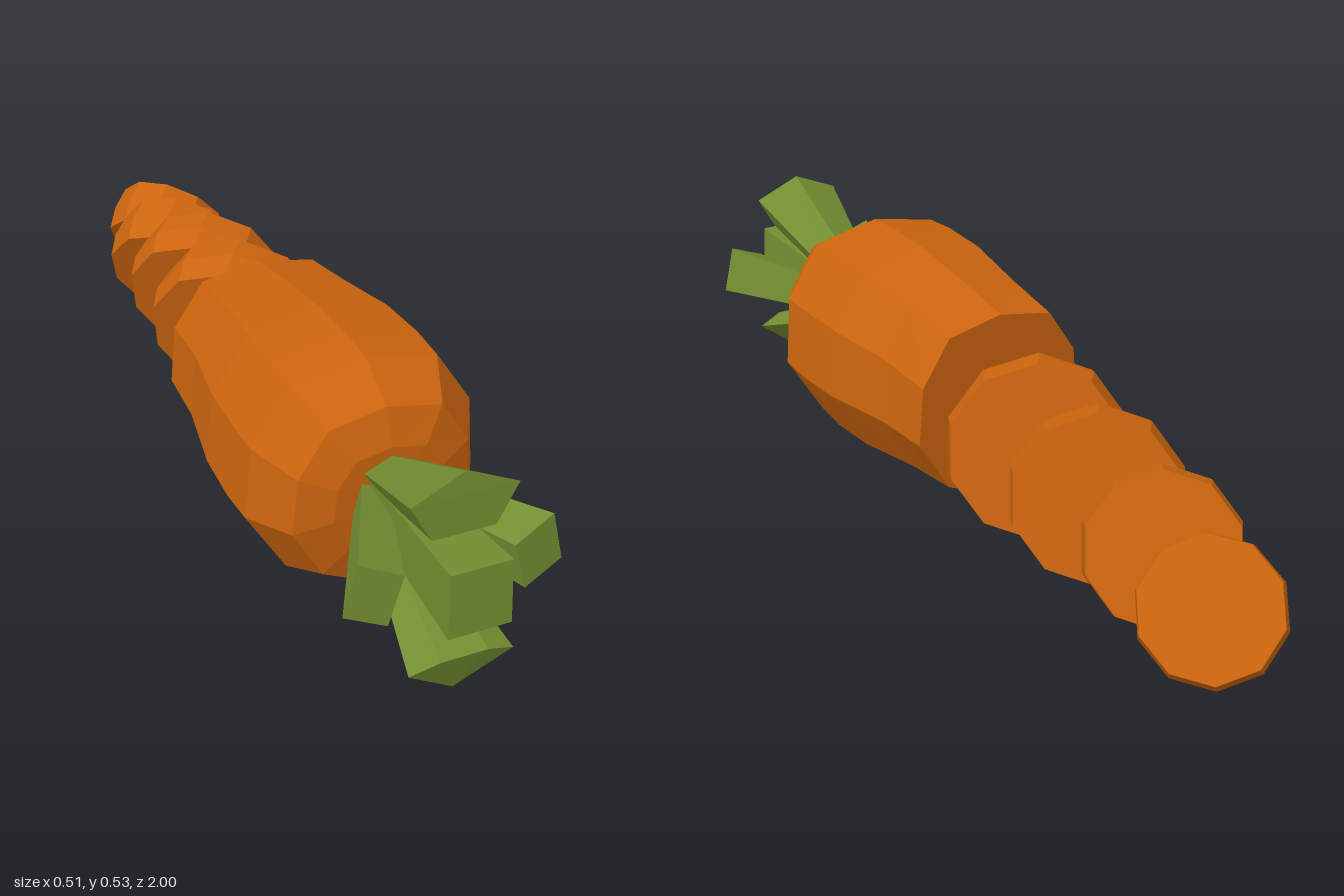
import * as THREE from 'three';
import { ConvexGeometry } from 'three/addons/geometries/ConvexGeometry.js';

const orange = new THREE.MeshStandardMaterial({ color: 0xcb640e });
orange.name = 'carrot orange';
const green = new THREE.MeshStandardMaterial({ color: 0x738e31 });
green.name = 'leaf green';

function addMesh(group, name, geometry, material) {
  const mesh = new THREE.Mesh(geometry, material);
  mesh.name = name;
  group.add(mesh);
  return mesh;
}

// Split every face so that it gets its own flat normal
function faceted(geometry) {
  const flat = geometry.index ? geometry.toNonIndexed() : geometry;
  flat.computeVertexNormals();
  return flat;
}

// Body: one uneven cross-section, scaled along z
function bodyGeometry() {
  const right = [[0.075, -0.257], [0.167, -0.213], [0.257, -0.06], [0.243, 0.107], [0.16, 0.235]];
  const section = [[0, -0.265], ...right, [0, 0.267],
    ...right.slice().reverse().map(([x, y]) => [-x, y])];
  // z, x scale, y scale, centre height
  const rings = [
    [-0.05, 0.83, 0.81, 0.255], [0.1, 0.86, 0.89, 0.262], [0.28, 0.98, 0.98, 0.266],
    [0.41, 1, 1, 0.268], [0.5, 0.99, 0.97, 0.272], [0.6, 0.76, 0.77, 0.27], [0.63, 0.47, 0.45, 0.28],
  ];
  const n = section.length, last = rings.length - 1;
  const positions = [];
  const point = (i, j) => {
    const [z, sx, sy, cy] = rings[i];
    const [x, y] = section[j % n];
    return [x * sx, cy + y * sy, z];
  };
  const tri = (...corners) => corners.forEach((c) => positions.push(...c));
  for (let j = 0; j < n; j++) {
    for (let i = 0; i < last; i++) {
      tri(point(i, j), point(i, j + 1), point(i + 1, j + 1));
      tri(point(i, j), point(i + 1, j + 1), point(i + 1, j));
    }
    tri([0, rings[0][3], rings[0][0]], point(0, j + 1), point(0, j));
    tri([0, rings[last][3], rings[last][0] + 0.005], point(last, j), point(last, j + 1));
  }
  const geometry = new THREE.BufferGeometry();
  geometry.setAttribute('position', new THREE.Float32BufferAttribute(positions, 3));
  return faceted(geometry);
}

// Slice: a thick disc with slightly bulging rim
function sliceGeometry(r, h) {
  const profile = [[0, -h], [r * 0.95, -h], [r, 0], [r * 0.95, h], [0, h]]
    .map(([x, y]) => new THREE.Vector2(x, y));
  return faceted(new THREE.LatheGeometry(profile, 10));
}

// Leaf: a tip outline drawn down to a smaller base outline
function leafGeometry(tip, base, shrink) {
  const points = tip.map((p) => new THREE.Vector3(...p));
  const centre = points.reduce((sum, p) => sum.add(p), new THREE.Vector3()).divideScalar(points.length);
  const foot = new THREE.Vector3(...base);
  const lower = points.map((p) => {
    const q = p.clone().sub(centre).multiplyScalar(shrink).add(foot);
    q.z = foot.z;
    return q;
  });
  return new ConvexGeometry([...points, ...lower]);
}

export function createModel() {
  const model = new THREE.Group();
  model.name = 'slicedCarrot';

  addMesh(model, 'body', bodyGeometry(), orange);

  // Cut slices, leaning more towards the tip: centre, radius, half thickness, lean, heading
  const slices = [
    [[0.015, 0.225, -0.22], 0.205, 0.065, 13, 37],
    [[0.02, 0.21, -0.44], 0.19, 0.065, 16, 37],
    [[0.015, 0.183, -0.65], 0.168, 0.065, 24, 38],
    [[0.06, 0.16, -0.855], 0.15, 0.06, 36, 45],
  ];
  const up = new THREE.Vector3(0, 1, 0);
  slices.forEach(([centre, r, h, lean, heading], i) => {
    const t = THREE.MathUtils.degToRad(lean), a = THREE.MathUtils.degToRad(heading);
    const axis = new THREE.Vector3(Math.sin(a) * Math.cos(t), Math.sin(t), -Math.cos(a) * Math.cos(t));
    const slice = addMesh(model, `slice${i + 1}`, sliceGeometry(r, h), orange);
    slice.position.set(...centre);
    slice.quaternion.setFromUnitVectors(up, axis);
  });

  // Leaves
  const leaves = new THREE.Group();
  leaves.name = 'leaves';
  model.add(leaves);
  addMesh(leaves, 'centreLeaf', leafGeometry(
    [[-0.065, 0.237, 1], [0.065, 0.237, 1], [0.063, 0.374, 0.99], [-0.063, 0.374, 0.99]],
    [0, 0.29, 0.61], 0.7), green);
  addMesh(leaves, 'topLeaf', leafGeometry(
    [[0, 0.53, 0.91], [0.11, 0.482, 0.915], [0.065, 0.402, 0.92], [-0.065, 0.402, 0.92], [-0.11, 0.482, 0.915]],
    [0, 0.335, 0.61], 0.5), green);
  addMesh(leaves, 'bottomLeaf', leafGeometry(
    [[0, 0.035, 0.92], [0.11, 0.117, 0.945], [0.05, 0.14, 0.955], [-0.05, 0.14, 0.955], [-0.11, 0.117, 0.945]],
    [0, 0.235, 0.61], 0.45), green);
  for (const [name, s] of [['leftLeaf', 1], ['rightLeaf', -1]]) {
    addMesh(leaves, name, leafGeometry(
      [[0.2 * s, 0.373, 0.9], [0.227 * s, 0.262, 0.9], [0.142 * s, 0.227, 0.915], [0.113 * s, 0.335, 0.915]],
      [0.035 * s, 0.285, 0.61], 0.6), green);
  }
  return model;
}
